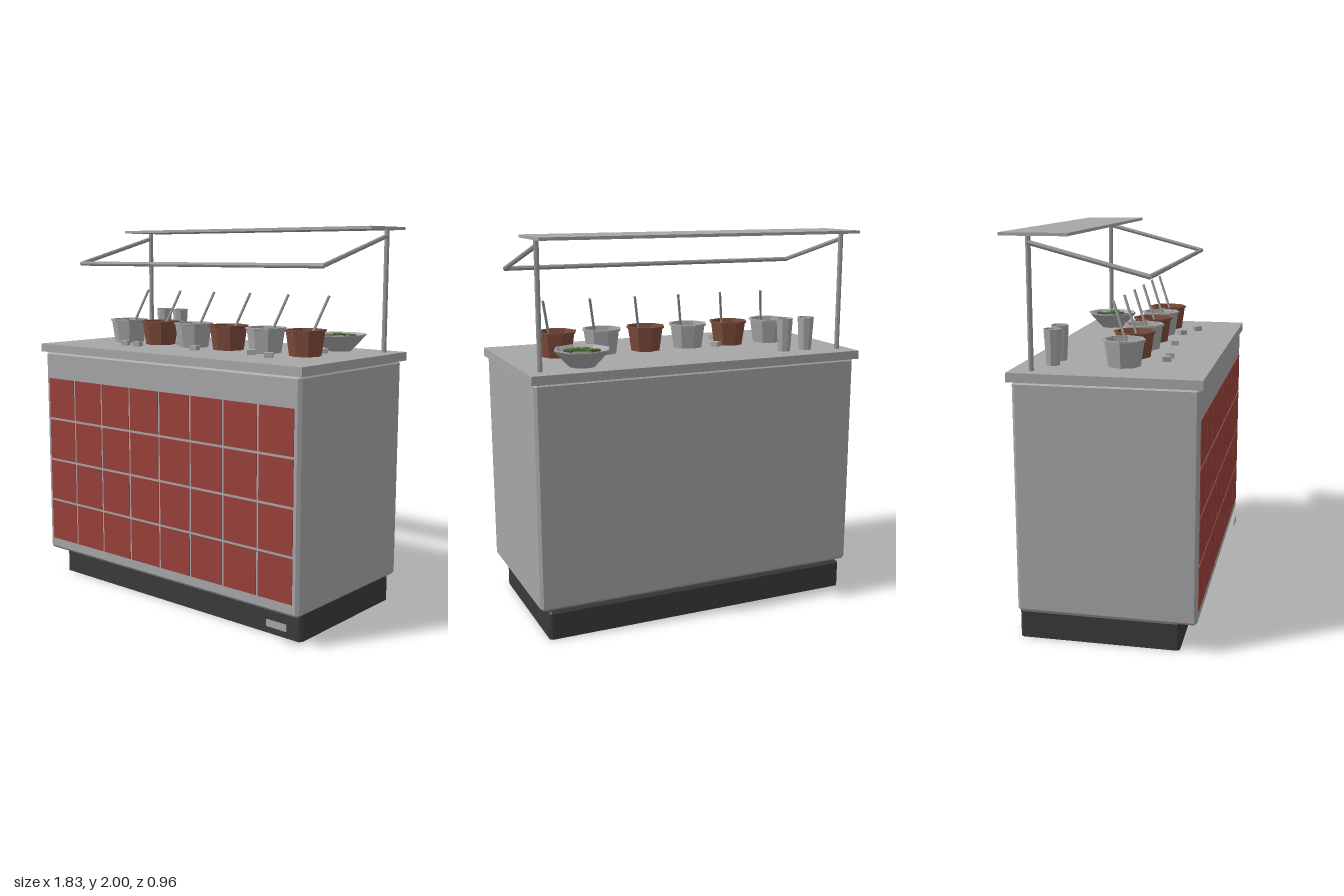
import * as THREE from 'three';

const mat = (name, color, side = THREE.FrontSide) =>
  new THREE.MeshStandardMaterial({ name, color, side, flatShading: true });

// Skins stacked rings [y, inset] of a rectangle with chamfered corners
function chamferBox(w, d, c, rings, openBottom = false) {
  const hw = w / 2, hd = d / 2, pos = [];
  const loops = rings.map(([y, i]) => [
    [hw - c, hd - i], [hw - i, hd - c], [hw - i, c - hd], [hw - c, i - hd],
    [c - hw, i - hd], [i - hw, c - hd], [i - hw, hd - c], [c - hw, hd - i],
  ].map(([x, z]) => [x, y, z]));
  const tri = (...p) => p.forEach((q) => pos.push(...q));
  for (let k = 0; k + 1 < loops.length; k++) {
    const a = loops[k], b = loops[k + 1];
    for (let i = 0; i < 8; i++) {
      const j = (i + 1) % 8;
      tri(a[i], a[j], b[j]);
      tri(a[i], b[j], b[i]);
    }
  }
  const low = loops[0], top = loops[loops.length - 1];
  for (let i = 1; i < 7; i++) {
    tri(top[0], top[i], top[i + 1]);
    if (!openBottom) tri(low[0], low[i + 1], low[i]);
  }
  const g = new THREE.BufferGeometry();
  g.setAttribute('position', new THREE.Float32BufferAttribute(pos, 3));
  g.computeVertexNormals();
  return g;
}

export function createModel() {
  const model = new THREE.Group();
  model.name = 'foodCounter';
  const steel = mat('steel', 0xa6a6a8);
  const pipe = mat('pipeSteel', 0x98989a);
  const tileRed = mat('tileRed', 0x98403a);
  const dark = mat('plinthBlack', 0x3a3a3a, THREE.DoubleSide);
  const clay = mat('terracotta', 0x7e4b3b);
  const sauceRed = mat('sauceRed', 0xa8403b);
  const sauceGreen = mat('sauceGreen', 0x5f7541);
  const sauceBrown = mat('sauceBrown', 0x83503f);
  const limeGreen = mat('limeGreen', 0x4f6b35);

  const add = (name, geo, material, x = 0, y = 0, z = 0, parent = model) => {
    const m = new THREE.Mesh(geo, material);
    m.name = name;
    m.position.set(x, y, z);
    parent.add(m);
    return m;
  };
  const box = (w, h, d) => new THREE.BoxGeometry(w, h, d);
  const lathe = (pts) => new THREE.LatheGeometry(pts.map((p) => new THREE.Vector2(...p)), 8);
  const rod = (name, from, to, r, material) => {
    const a = new THREE.Vector3(...from), dir = new THREE.Vector3(...to).sub(a);
    const m = add(name, new THREE.CylinderGeometry(r, r, dir.length(), 8), material);
    m.position.copy(a).addScaledVector(dir, 0.5);
    m.quaternion.setFromUnitVectors(new THREE.Vector3(0, 1, 0), dir.normalize());
    return m;
  };

  // Plinth, cabinet and worktop
  add('plinth', chamferBox(1.71, 0.805, 0.013, [[0, 0], [0.137, 0], [0.15, 0.013]], true), dark, 0, 0, -0.027);
  add('cabinet', chamferBox(1.796, 0.894, 0.015,
    [[0.155, 0.015], [0.17, 0], [1.3, 0], [1.315, 0.015]]), steel, 0, 0, 0.018);
  add('worktop', box(1.83, 0.045, 0.93), steel, 0, 1.3355, 0.015);
  add('gripPlate', box(0.12, 0.036, 0.003), steel, 0.78, 0.1, 0.474);

  // Front tiles
  const tiles = new THREE.Group();
  tiles.name = 'frontTiles';
  model.add(tiles);
  const tileGeo = box(0.206, 0.226, 0.006);
  for (let r = 0; r < 4; r++)
    for (let c = 0; c < 8; c++)
      add('tile', tileGeo, tileRed, (c - 3.5) * 0.218, 0.332 + r * 0.239, 0.465, tiles);

  // Canopy and guard frame
  add('canopy', box(1.74, 0.015, 0.33), steel, 0, 1.9925, -0.315);
  for (const s of [-1, 1]) {
    rod('post', [s * 0.842, 1.355, -0.345], [s * 0.842, 1.987, -0.345], 0.013, pipe);
    rod('guardArm', [s * 0.845, 1.955, -0.345], [s * 0.845, 1.808, 0.225], 0.012, pipe);
  }
  rod('guardRail', [-0.85, 1.808, 0.222], [0.85, 1.808, 0.222], 0.012, pipe);

  // Sauce pots with ladles
  const potGeo = lathe([[0, 0], [0.082, 0], [0.1, 0.122], [0.108, 0.124], [0.108, 0.133],
    [0.095, 0.133], [0.083, 0.04], [0, 0.04]]);
  const fillGeo = new THREE.CylinderGeometry(0.0915, 0.087, 0.03, 8);
  const fills = [sauceRed, sauceGreen, sauceBrown, steel, steel, sauceBrown];
  fills.forEach((fill, i) => {
    const x = -0.63 + i * 0.252, z = 0.056;
    add('pot', potGeo, i % 2 ? clay : steel, x, 1.357, z);
    add('potFilling', fillGeo, fill, x, 1.447, z);
    rod('ladle', [x + 0.035, 1.45, z + 0.008], [x + 0.089, 1.658, -0.016], 0.007, pipe);
  });

  // Bowl of lime pieces
  add('bowl', lathe([[0, 0], [0.065, 0], [0.145, 0.084], [0.145, 0.09], [0.136, 0.09],
    [0.062, 0.014], [0, 0.014]]), steel, 0.606, 1.357, -0.285);
  const limeGeo = box(0.04, 0.036, 0.04);
  for (let i = 0; i < 9; i++) {
    const a = i * 0.785, r = i === 8 ? 0 : i % 2 ? 0.05 : 0.072;
    add('limePiece', limeGeo, limeGreen, 0.606 + r * Math.sin(a), 1.421 + (i % 3) * 0.004,
      -0.285 + r * Math.cos(a)).rotation.y = i * 1.3;
  }

  // Tumblers
  const cupGeo = lathe([[0, 0], [0.034, 0], [0.045, 0.178], [0.04, 0.178], [0.036, 0.15], [0, 0.15]]);
  for (const x of [-0.675, -0.543]) add('tumbler', cupGeo, steel, x, 1.357, -0.287);

  // Loose cubes on the worktop
  const cubeGeo = box(0.042, 0.026, 0.042);
  [[0.473, -0.085, 0.6], [0.625, -0.11, 0.8], [0.38, 0.18, 0.7], [0.545, 0.245, 0.5], [0.01, 0.2, 0.2],
    [-0.38, 0.238, 0.3], [-0.477, 0.236, 0.4], [-0.275, 0, 0.6]].forEach(([x, z, turn]) => {
    add('cube', cubeGeo, steel, x, 1.37, z).rotation.y = turn;
  });
  return model;
}
